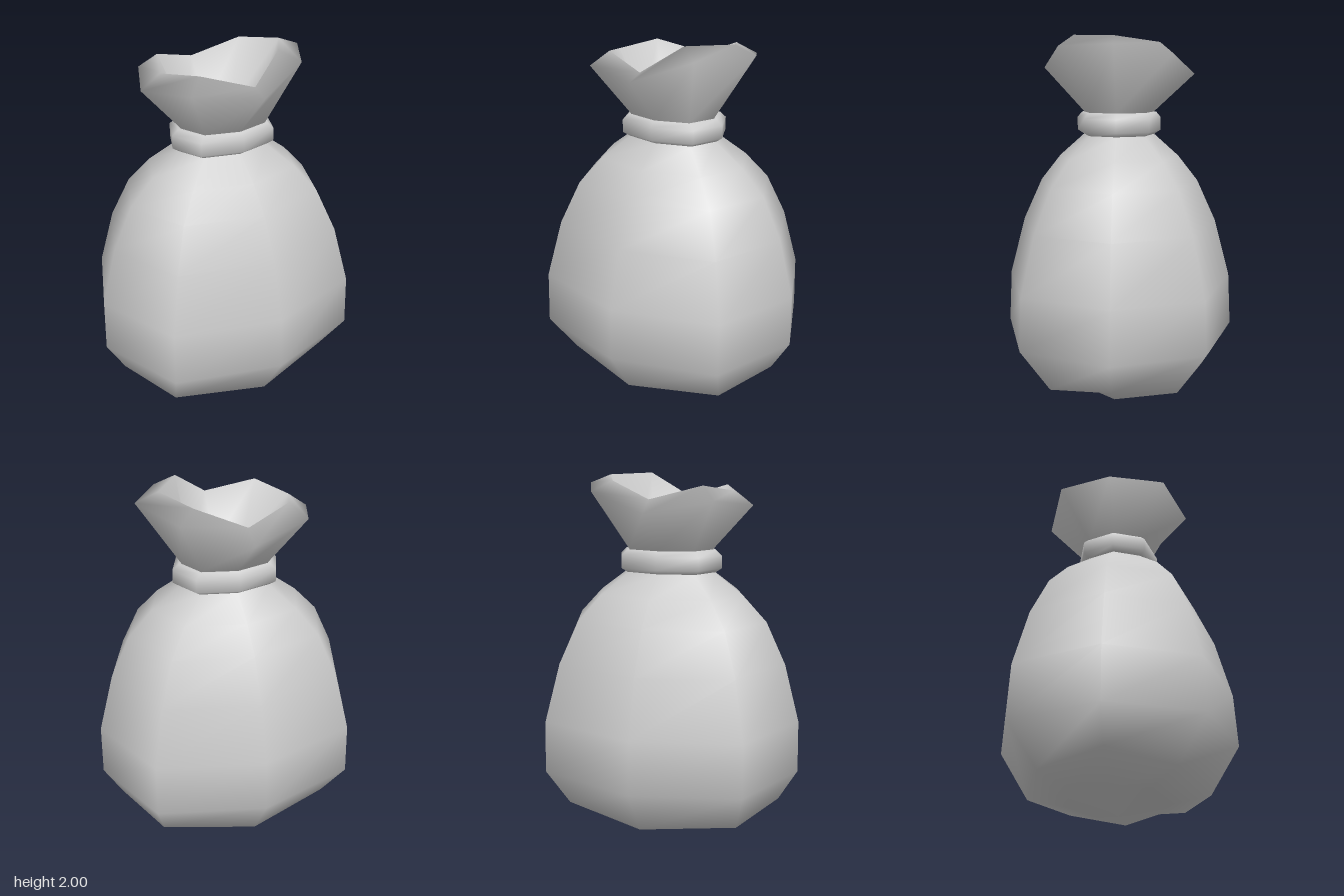
import * as THREE from 'three';

const SIDES = 8;
const DIAGONAL = 0.75; // corner reach of the slightly squared octagon

// Octagonal ring, half width rx, half depth rz, at height y
function ring(rx, rz, y) {
  return Array.from({ length: SIDES }, (_, i) => {
    const a = (i * Math.PI * 2) / SIDES;
    const k = i % 2 ? DIAGONAL / Math.SQRT1_2 : 1;
    return [Math.cos(a) * rx * k, y, Math.sin(a) * rz * k];
  });
}

// Ring whose side, corner and front points are given separately, mirrored in x and z
function mirroredRing(side, corner, front) {
  const flip = ([x, y, z], sx, sz) => [x * sx, y, z * sz];
  return [
    side, corner, front, flip(corner, -1, 1),
    flip(side, -1, 1), flip(corner, -1, -1), flip(front, 1, -1), flip(corner, 1, -1),
  ];
}

// Smooth skin over a stack of rings
function loft(name, rings, material) {
  const index = [];
  for (let r = 0; r < rings.length - 1; r++) {
    for (let i = 0; i < SIDES; i++) {
      const j = (i + 1) % SIDES;
      const a = r * SIDES + i, b = r * SIDES + j;
      const c = a + SIDES, d = b + SIDES;
      index.push(a, c, b, b, c, d);
    }
  }
  const geometry = new THREE.BufferGeometry();
  geometry.setAttribute('position', new THREE.Float32BufferAttribute(rings.flat(2), 3));
  geometry.setIndex(index);
  geometry.computeVertexNormals();
  const mesh = new THREE.Mesh(geometry, material);
  mesh.name = name;
  return mesh;
}

export function createModel() {
  const group = new THREE.Group();
  group.name = 'sack';
  const cloth = new THREE.MeshStandardMaterial({ color: 0xcccccc, side: THREE.DoubleSide });

  // Bulging bag, from the sagging bottom up to the neck
  group.add(loft('bag', [
    ring(0.001, 0.001, 0),
    mirroredRing([0.41, 0.04, 0], [0.3, 0.075, 0.2], [0, 0.06, 0.29]),
    mirroredRing([0.655, 0.18, 0], [0.5, 0.125, 0.34], [0, 0.1, 0.49]),
    ring(0.76, 0.65, 0.36),
    ring(0.755, 0.635, 0.65),
    ring(0.67, 0.55, 0.97),
    ring(0.56, 0.445, 1.2),
    ring(0.425, 0.335, 1.34),
    ring(0.26, 0.2, 1.46),
    ring(0.24, 0.19, 1.52),
  ], cloth));

  // Cord tied round the neck
  group.add(loft('tie', [
    ring(0.23, 0.18, 1.46),
    ring(0.265, 0.2, 1.462),
    ring(0.3, 0.235, 1.485),
    ring(0.3, 0.235, 1.555),
    ring(0.265, 0.21, 1.585),
    ring(0.23, 0.18, 1.59),
  ], cloth));

  // Flared, uneven mouth: outside, rolled rim, then down the inside
  const outerRim = [
    [0.485, 1.945, 0], [0.3, 1.94, 0.3], [0, 1.83, 0.42], [-0.34, 1.86, 0.3],
    [-0.47, 1.83, 0], [-0.34, 1.86, -0.3], [0, 1.795, -0.42], [0.34, 1.9, -0.3],
  ];
  const innerRim = [
    [0.36, 1.99, 0], [0.2, 2.0, 0.23], [0, 1.865, 0.33], [-0.26, 1.935, 0.23],
    [-0.36, 1.905, 0], [-0.26, 1.935, -0.23], [0, 1.865, -0.33], [0.25, 1.96, -0.23],
  ];
  group.add(loft('mouth', [
    ring(0.24, 0.19, 1.52),
    ring(0.25, 0.2, 1.59),
    outerRim,
    innerRim,
    ring(0.2, 0.165, 1.62),
    ring(0.001, 0.001, 1.56),
  ], cloth));

  return group;
}
